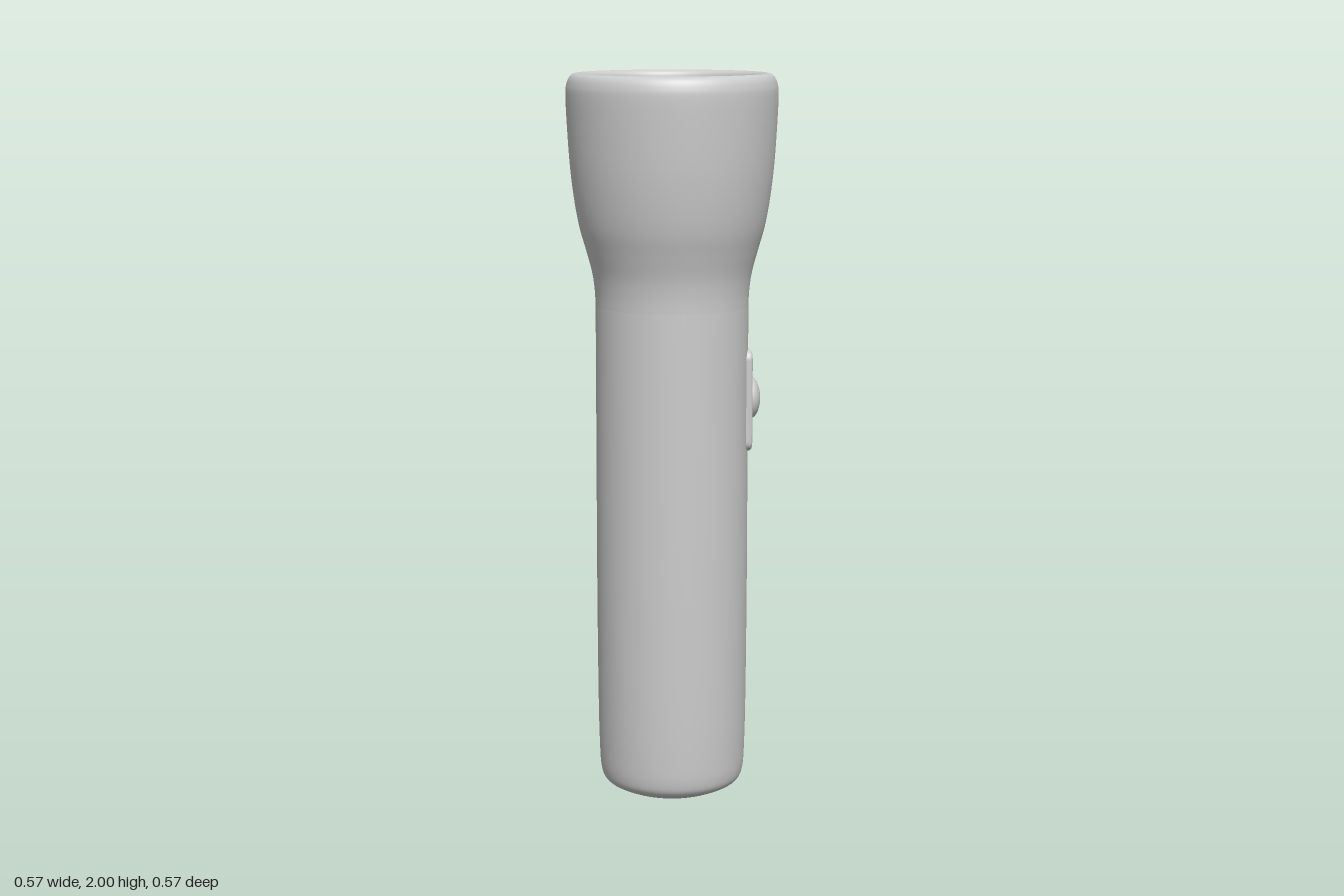
import * as THREE from 'three';

const material = new THREE.MeshStandardMaterial({ color: 0xcccccc });

function addMesh(parent, name, geometry) {
  const mesh = new THREE.Mesh(geometry, material);
  mesh.name = name;
  parent.add(mesh);
  return mesh;
}

function lathe(points, samples) {
  const curve = new THREE.SplineCurve(points.map(([r, y]) => new THREE.Vector2(r, y)));
  const profile = curve.getPoints(samples);
  profile.forEach((p) => { p.x = Math.max(p.x, 0); });
  return new THREE.LatheGeometry(profile, 64);
}

function roundedRect(w, h, r) {
  const s = new THREE.Shape();
  const x = w / 2, y = h / 2;
  s.absarc(x - r, y - r, r, 0, Math.PI / 2);
  s.absarc(-x + r, y - r, r, Math.PI / 2, Math.PI);
  s.absarc(-x + r, -y + r, r, Math.PI, Math.PI * 1.5);
  s.absarc(x - r, -y + r, r, Math.PI * 1.5, Math.PI * 2);
  s.closePath();
  return s;
}

export function createModel() {
  const model = new THREE.Group();
  model.name = 'flashlight';

  // Handle with its shallow domed end
  addMesh(model, 'handle', lathe([
    [0, 0], [0.06, 0.004], [0.12, 0.018], [0.165, 0.036], [0.188, 0.052],
    [0.198, 0.08], [0.202, 0.14], [0.205, 0.28], [0.207, 0.6], [0.207, 1.0], [0.207, 1.38],
  ], 60));

  // Flared head, rolled over at the rim and down to the lens
  addMesh(model, 'head', lathe([
    [0.207, 1.38], [0.209, 1.42], [0.216, 1.47], [0.232, 1.53], [0.249, 1.59],
    [0.262, 1.66], [0.273, 1.75], [0.280, 1.85], [0.284, 1.94], [0.281, 1.972],
    [0.272, 1.992], [0.258, 2.0], [0.246, 1.997], [0.239, 1.988], [0.236, 1.968],
  ], 84));

  // Recessed flat lens
  const lens = addMesh(model, 'lens', new THREE.CircleGeometry(0.238, 64));
  lens.rotation.x = -Math.PI / 2;
  lens.position.y = 1.978;

  // Switch, turned so its local +z points outward from the handle
  const switchGroup = new THREE.Group();
  switchGroup.name = 'switch';
  switchGroup.position.y = 1.12;
  switchGroup.rotation.y = THREE.MathUtils.degToRad(67.5);
  model.add(switchGroup);

  const bevel = 0.01;
  const plate = addMesh(switchGroup, 'switchPlate', new THREE.ExtrudeGeometry(
    roundedRect(0.155 - 2 * bevel, 0.28 - 2 * bevel, 0.018),
    { depth: 0.04, bevelSize: bevel, bevelThickness: bevel, bevelSegments: 4, curveSegments: 6 },
  ));
  plate.position.z = 0.161;

  // Domed push button
  const button = addMesh(switchGroup, 'switchButton', new THREE.SphereGeometry(1, 32, 20));
  button.scale.set(0.06, 0.06, 0.03);
  button.position.z = 0.213;

  return model;
}
